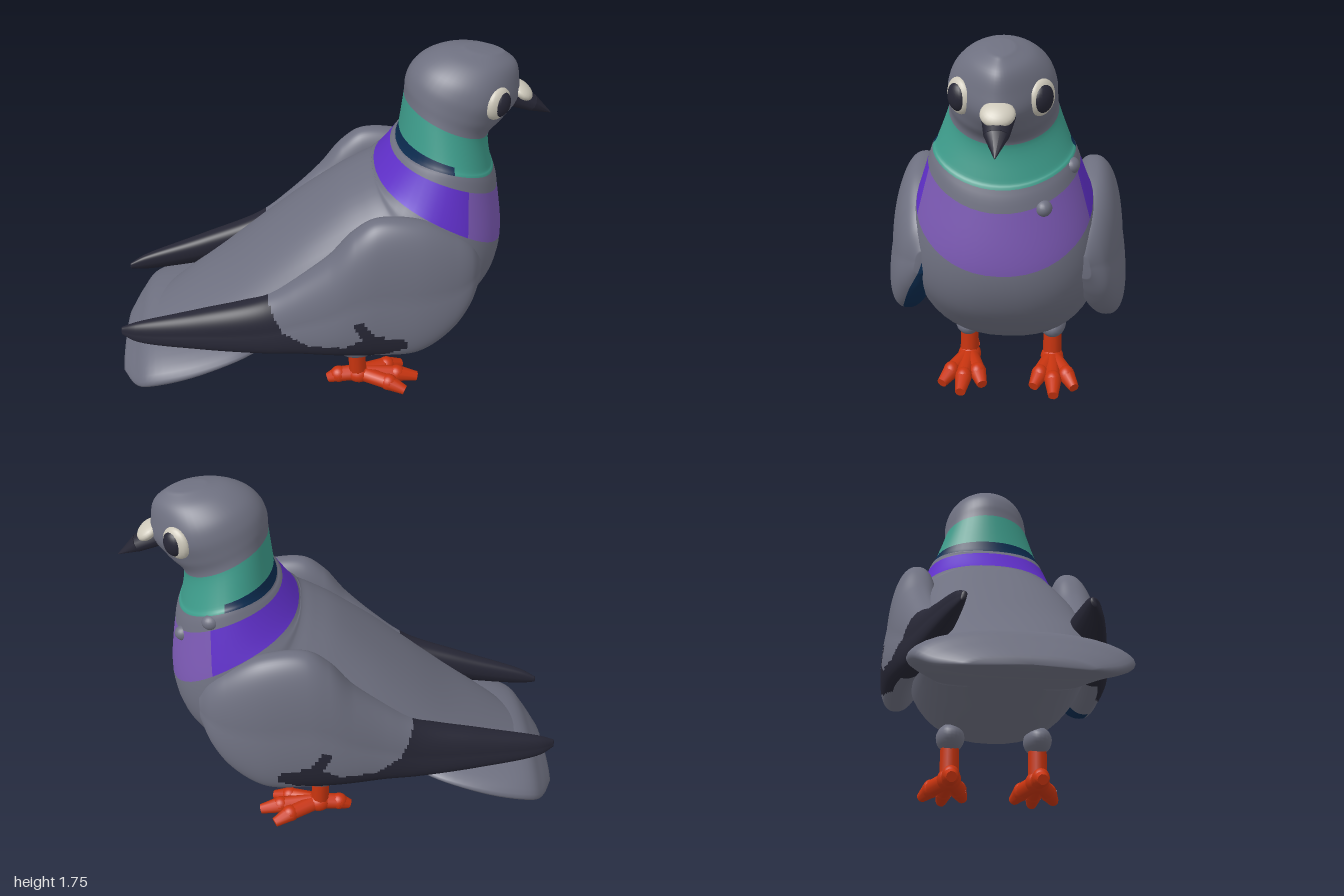
import * as THREE from 'three';

const V = (x, y, z) => new THREE.Vector3(x, y, z);
const mat = (name, color) => Object.assign(new THREE.MeshStandardMaterial({ color }), { name });
const pw = (v, e) => Math.sign(v) * Math.abs(v) ** e;
const step = THREE.MathUtils.smoothstep;

// Skin a list of closed rings; pick(ring, step, centre) chooses the material of each cell
function loft(name, rings, mats, pick, flip = false) {
  const n = rings[0].length;
  const mid = (r) => r.reduce((s, p) => s.add(p), V(0, 0, 0)).divideScalar(n);
  const cap = (r) => { const c = mid(r); return r.map(() => c); };
  const all = [cap(rings[0]), ...rings, cap(rings[rings.length - 1])];
  const pos = all.flatMap((r) => r.flatMap((p) => [p.x, p.y, p.z]));
  const lists = mats.map(() => []);
  for (let i = 0; i < all.length - 1; i++) {
    for (let j = 0; j < n; j++) {
      const k = (j + 1) % n;
      const centre = V(0, 0, 0).add(all[i][j]).add(all[i][k]).add(all[i + 1][j]).add(all[i + 1][k]).divideScalar(4);
      const a = i * n + j, b = i * n + k, c = a + n, d = b + n;
      lists[pick(i - 1, j, centre)].push(...(flip ? [a, c, b, b, c, d] : [a, b, c, b, d, c]));
    }
  }
  const geo = new THREE.BufferGeometry();
  geo.setAttribute('position', new THREE.Float32BufferAttribute(pos, 3));
  geo.setIndex(lists.flat());
  let start = 0;
  lists.forEach((l, m) => { geo.addGroup(start, l.length, m); start += l.length; });
  geo.computeVertexNormals();
  const mesh = new THREE.Mesh(geo, mats);
  mesh.name = name;
  return mesh;
}

// Rings from sections [back x, back y, front x, front y, half width]; place(t, cos, sin, back, front) gives a point
function trunk(sections, S, N, place) {
  const total = (sections.length - 1) * S;
  const back = new THREE.CatmullRomCurve3(sections.map((s) => V(s[0], s[1], s[4])), false, 'catmullrom');
  const front = new THREE.CatmullRomCurve3(sections.map((s) => V(s[2], s[3], s[4])), false, 'catmullrom');
  return Array.from({ length: total + 1 }, (_, i) => {
    const b = back.getPoint(i / total), f = front.getPoint(i / total);
    return Array.from({ length: N }, (_, j) => {
      const a = (j / N) * Math.PI * 2;
      return place(i / S, Math.cos(a), Math.sin(a), b, f);
    });
  });
}

function inside(poly, x, y) {
  let hit = false;
  for (let i = 0, j = poly.length - 1; i < poly.length; j = i++) {
    const [ax, ay] = poly[i], [bx, by] = poly[j];
    if ((ay > y) !== (by > y) && x < ((bx - ax) * (y - ay)) / (by - ay) + ax) hit = !hit;
  }
  return hit;
}

export function createModel() {
  const grey = mat('grey plumage', 0x6e7080);
  const dark = mat('dark feathers', 0x262634);
  const green = mat('green neck', 0x3d9b8a);
  const violet = mat('violet nape', 0x5f2fc8);
  const mauve = mat('mauve breast', 0x7a58b2);
  const navy = mat('navy feathers', 0x0c2c50);
  const red = mat('red feet', 0xc8340f);
  const cream = mat('cream', 0xcdc8ba);

  const bird = new THREE.Group();
  bird.name = 'bird';

  const ball = (name, m, p, s, parent = bird) => {
    const b = new THREE.Mesh(new THREE.SphereGeometry(1, 20, 14), m);
    b.name = name;
    b.position.copy(p);
    b.scale.set(...s);
    parent.add(b);
    return b;
  };
  const limb = (name, m, a, b, ra, rb, parent = bird) => {
    const d = b.clone().sub(a);
    const c = new THREE.Mesh(new THREE.CylinderGeometry(rb, ra, d.length(), 10), m);
    c.name = name;
    c.position.copy(a).add(b).multiplyScalar(0.5);
    c.quaternion.setFromUnitVectors(V(0, 1, 0), d.normalize());
    parent.add(c);
    return c;
  };

  // Body, neck and head
  const sections = [
    [-0.88, 0.33, -0.82, 0.22, 0.2], [-0.7, 0.455, -0.62, 0.27, 0.29],
    [-0.5, 0.605, -0.45, 0.33, 0.34], [-0.3, 0.78, -0.25, 0.3, 0.375],
    [-0.1, 0.95, 0, 0.25, 0.4], [0.05, 1.07, 0.3, 0.275, 0.41],
    [0.15, 1.13, 0.5, 0.375, 0.415], [0.2, 1.155, 0.65, 0.5, 0.41],
    [0.215, 1.165, 0.77, 0.65, 0.4], [0.225, 1.175, 0.82, 0.84, 0.368],
    [0.295, 1.28, 0.785, 1.1, 0.312], [0.318, 1.305, 0.76, 1.19, 0.292],
    [0.33, 1.365, 0.745, 1.225, 0.272], [0.345, 1.53, 0.725, 1.365, 0.222],
    [0.348, 1.6, 0.79, 1.44, 0.217], [0.37, 1.66, 0.845, 1.515, 0.213],
    [0.42, 1.71, 0.84, 1.6, 0.187], [0.5, 1.745, 0.82, 1.68, 0.13],
    [0.6, 1.757, 0.76, 1.735, 0.05],
  ];
  const S = 6, N = 48;
  const bodyRings = trunk(sections, S, N, (t, cos, sin, b, f) => {
    const e = 1 - 0.15 * step(t, 2, 4) * (1 - step(t, 8, 10)), c = pw(cos, e);
    const lift = 0.05 * step(t, 7.5, 9) * (1 - step(t, 10.5, 14));
    const taper = cos < 0 ? 1 - 0.34 * step(t, 13, 15) * cos * cos : 1;
    return V((b.x + f.x) / 2 + ((b.x - f.x) / 2) * c,
      (b.y + f.y) / 2 + ((b.y - f.y) / 2) * c + lift * sin * sin, b.z * pw(sin, e) * taper);
  });
  bird.add(loft('body', bodyRings, [grey, violet, mauve, navy, green], (i, j) => {
    const t = i / S, c = Math.cos(((j + 0.5) / N) * Math.PI * 2);
    if (t < 9 || t >= 13) return 0;
    if (t < 10) return c < -0.2 ? 2 : 1;
    if (t < 11) return 0;
    return t < 12 && c > 0 ? 3 : 4;
  }));

  // Fanned tail, drooping at the sides
  const fan = [
    [-0.995, 0.195, -0.985, 0.165, 0.22], [-0.93, 0.28, -0.92, 0.15, 0.35],
    [-0.85, 0.36, -0.83, 0.18, 0.42], [-0.66, 0.4, -0.64, 0.25, 0.435],
    [-0.45, 0.42, -0.43, 0.32, 0.39], [-0.3, 0.42, -0.3, 0.33, 0.3],
  ];
  bird.add(loft('tail', trunk(fan, 5, 32, (t, c, s, b, f) => V((b.x + f.x) / 2 + ((b.x - f.x) / 2) * c,
    (b.y + f.y) / 2 + ((b.y - f.y) / 2) * c - 0.02 * s * s, b.z * pw(s, 0.8))), [grey], () => 0));

  // Wings: x, top, bottom, outer z, inner z
  const stations = [
    [-0.97, 0.455, 0.42, 0.25, 0.23], [-0.9, 0.49, 0.4, 0.285, 0.23],
    [-0.6, 0.58, 0.4, 0.36, 0.24], [-0.3, 0.68, 0.41, 0.42, 0.26],
    [-0.15, 0.79, 0.43, 0.455, 0.27], [0, 0.93, 0.44, 0.49, 0.28],
    [0.1, 1.06, 0.44, 0.503, 0.28], [0.2, 1.13, 0.44, 0.508, 0.28],
    [0.4, 1.115, 0.45, 0.503, 0.28], [0.55, 1.03, 0.55, 0.468, 0.28],
    [0.63, 0.96, 0.66, 0.425, 0.28], [0.68, 0.87, 0.77, 0.36, 0.3],
  ];
  const darkArea = [
    [-1, 0.3], [-1, 0.5], [-0.45, 0.66], [-0.28, 0.7], [-0.22, 0.57], [-0.1, 0.52], [0.06, 0.53],
    [0.14, 0.58], [0.09, 0.67], [0.14, 0.68], [0.2, 0.6], [0.33, 0.57], [0.35, 0.52], [0.26, 0.48], [0, 0.42], [-0.3, 0.3],
  ];
  const edgeA = new THREE.CatmullRomCurve3(stations.map((s) => V(s[0], s[1], s[3])));
  const edgeB = new THREE.CatmullRomCurve3(stations.map((s) => V(s[0], s[2], s[4])));
  const W = (stations.length - 1) * 14, M = 88;
  for (const side of [1, -1]) {
    const wingRings = [];
    for (let i = 0; i <= W; i++) {
      const a = edgeA.getPoint(i / W), b = edgeB.getPoint(i / W), half = (a.z - b.z) / 2;
      wingRings.push(Array.from({ length: M }, (_, j) => {
        const q = (j / M) * Math.PI * 2, c = pw(Math.cos(q), 0.85);
        const lean = half * c * (c > 0 ? 0.2 : 0.5);
        return V((a.x + b.x) / 2, (a.y + b.y) / 2 + ((a.y - b.y) / 2) * c,
          side * ((a.z + b.z) / 2 + half * pw(Math.sin(q), 0.85) - lean));
      }));
    }
    bird.add(loft(side > 0 ? 'leftWing' : 'rightWing', wingRings, [grey, dark, navy], (i, j, p) => {
      const inner = j >= M / 2 - 2;
      if (side > 0 && inner && p.x > 0.3 && p.y < 0.82) return 2;
      return inside(darkArea, p.x, p.y) && !(inner && p.x > -0.1) ? 1 : 0;
    }, side < 0));

    // Eye: flattened dome turned partly forward
    const eye = new THREE.Group();
    eye.name = side > 0 ? 'leftEye' : 'rightEye';
    eye.position.set(0.722, 1.565, side * 0.156);
    eye.rotation.y = side > 0 ? 0.68 : Math.PI - 0.68;
    ball('eyeRim', cream, V(0, 0, 0), [0.07, 0.073, 0.035], eye);
    ball('pupil', dark, V(side * 0.006, 0, 0.012), [0.051, 0.058, 0.034], eye);
    bird.add(eye);

    // Leg and foot
    const leg = new THREE.Group();
    leg.name = side > 0 ? 'leftLeg' : 'rightLeg';
    const z = side * 0.2;
    ball('thigh', grey, V(0.145, 0.245, z), [0.105, 0.062, 0.065], leg);
    limb('shank', red, V(0.155, 0.06, z), V(0.145, 0.24, z), 0.045, 0.042, leg);
    ball('ankle', red, V(0.16, 0.06, z), [0.06, 0.05, 0.055], leg);
    for (const [x, dz] of [[0.45, 0.015], [0.38, 0.11], [0.38, -0.08], [0.005, 0]]) {
      const root = V(0.16, 0.06, z), tip = V(x, 0.03, z + side * dz);
      const knuckle = root.clone().lerp(tip, 0.65).setY(0.052);
      limb('toe', red, root, knuckle, 0.04, 0.038, leg);
      ball('knuckle', red, knuckle, [0.043, 0.043, 0.039], leg);
      limb('claw', red, knuckle, tip, 0.041, 0.024, leg);
    }
    bird.add(leg);
  }

  // Bill with its pale swelling
  limb('billBase', dark, V(0.81, 1.52, 0), V(0.91, 1.473, 0), 0.05, 0.036).scale.z = 1.35;
  limb('billTip', dark, V(0.91, 1.473, 0), V(1, 1.42, 0), 0.036, 0.002).scale.z = 1.35;
  ball('cere', cream, V(0.855, 1.54, 0), [0.06, 0.032, 0.068]).rotation.z = -0.6;

  // Ruffled feathers on the right of the neck
  ball('neckTuft', grey, V(0.6, 1.24, -0.275), [0.04, 0.035, 0.035]);
  ball('breastTuft', grey, V(0.735, 1.11, -0.17), [0.04, 0.035, 0.035]);

  return bird;
}
